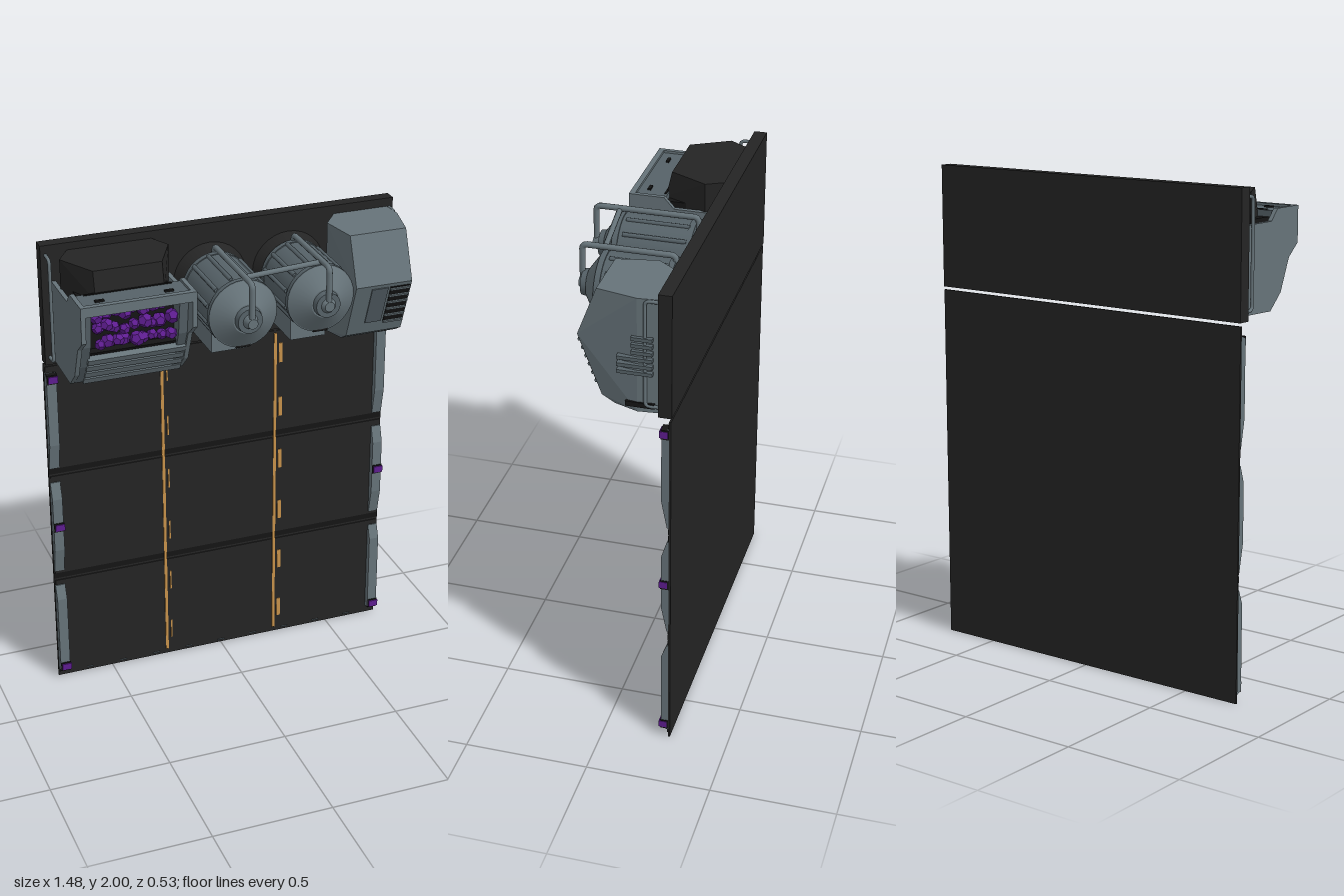
import * as THREE from 'three';
import { ConvexGeometry } from 'three/addons/geometries/ConvexGeometry.js';

const mat = (name, color, side = THREE.FrontSide) => {
  const m = new THREE.MeshStandardMaterial({ color, side });
  m.name = name;
  return m;
};

export function createModel() {
  const root = new THREE.Group();
  root.name = 'wallMachine';
  const dark = mat('charcoal', 0x242424);
  const black = mat('black', 0x141414);
  const steel = mat('steel', 0x667379);
  const tankGrey = mat('tankGrey', 0x566268);
  const orange = mat('amber', 0xc8924a);
  const purple = mat('purple', 0x5e1d90);

  const add = (name, geo, m, parent = root) => {
    const mesh = new THREE.Mesh(geo, m);
    mesh.name = name;
    parent.add(mesh);
    return mesh;
  };
  // box given by its minimum and maximum on each axis
  const box = (name, x0, x1, y0, y1, z0, z1, m, parent) => {
    const mesh = add(name, new THREE.BoxGeometry(x1 - x0, y1 - y0, z1 - z0), m, parent);
    mesh.position.set((x0 + x1) / 2, (y0 + y1) / 2, (z0 + z1) / 2);
    return mesh;
  };
  // side profile of [z, y] points, extruded from x0 to x1
  const sideProfile = (name, pts, x0, x1, m, parent) => {
    const shape = new THREE.Shape(pts.map(p => new THREE.Vector2(p[0], p[1])));
    const g = new THREE.ExtrudeGeometry(shape, { depth: x1 - x0, bevelEnabled: false });
    g.rotateY(-Math.PI / 2).translate(x1, 0, 0);
    return add(name, g, m, parent);
  };
  // pipe through points with tight rounded corners
  const pipe = (name, pts, r, m, parent) => {
    const v = pts.map(p => new THREE.Vector3(...p));
    const path = new THREE.CurvePath();
    let last = v[0];
    for (let i = 1; i < v.length - 1; i++) {
      const a = v[i].clone().add(v[i - 1].clone().sub(v[i]).setLength(0.02));
      const b = v[i].clone().add(v[i + 1].clone().sub(v[i]).setLength(0.02));
      path.add(new THREE.LineCurve3(last, a));
      path.add(new THREE.QuadraticBezierCurve3(a, v[i], b));
      last = b;
    }
    path.add(new THREE.LineCurve3(last, v[v.length - 1]));
    return add(name, new THREE.TubeGeometry(path, 60, r, 10), m, parent);
  };

  // lower wall: backing, nine panels, seams
  box('wallBacking', -0.742, 0.738, 0.005, 1.485, -0.268, -0.26, dark);
  const colX = [-0.742, -0.25, 0.246, 0.738];
  for (let r = 0; r < 3; r++) {
    for (let c = 0; c < 3; c++) {
      box('wallPanel', colX[c] + 0.006, colX[c + 1] - 0.006, r * 0.495 + 0.022, r * 0.495 + 0.482, -0.261, -0.256, dark);
    }
    if (r) box('wallSeam', -0.742, 0.738, r * 0.495 - 0.003, r * 0.495 + 0.022, -0.261, -0.258, black);
  }
  for (let i = 0; i < 9; i++) {
    const x = -0.6 + i * 0.15;
    box('floorMark', x - 0.015, x + 0.015, 0.018, 0.023, -0.258, -0.254, tankGrey);
  }

  // amber strips and dashes
  for (const [x, dx, w] of [[-0.25, 0.022, 0.006], [0.246, 0.024, 0.016]]) {
    box('amberStrip', x - 0.006, x + 0.006, 0.03, 1.46, -0.262, -0.252, orange);
    for (let i = 0; i < 6; i++) {
      const y = 0.13 + i * 0.248;
      box('amberDash', x + dx - w / 2, x + dx + w / 2, y - 0.044, y + 0.044, -0.258, -0.253, orange);
    }
  }

  // tapered edge trims and their lights
  const trims = [[0.04, 0.05, 0.40, 0.46], [0.53, 0.64, 0.88, 0.95], [1.015, 1.13, 1.435, 1.445]];
  for (const x of [-0.718, 0.714]) {
    for (const [a, b, c, d] of trims) {
      sideProfile('edgeTrim', [[-0.264, a], [-0.252, a], [-0.23, b], [-0.23, c], [-0.252, d], [-0.264, d]], x - 0.021, x + 0.021, steel);
    }
    for (const y of [0.065, 0.75, 1.425]) {
      box('lightSocket', x - 0.02, x + 0.023, y - 0.02, y + 0.02, -0.26, -0.227, black);
      box('edgeLight', x - 0.015, x + 0.025, y - 0.014, y + 0.014, -0.255, -0.222, purple);
    }
  }

  // upper mounting board
  box('upperBoard', -0.742, 0.738, 1.498, 2, -0.27, -0.218, dark);
  for (const x of [-0.722, 0.722]) {
    pipe('handRail', [[x, 1.96, -0.23], [x, 1.96, -0.165], [x, 1.53, -0.165], [x, 1.53, -0.23]], 0.007, steel);
  }

  // six-sided tower; each row is [y, front z]
  const tower = (name, x, rows, m) => {
    const pts = [];
    for (const [y, zf] of rows) {
      const plan = [[x[1], -0.22], [x[4], -0.22], [x[5], -0.135], [x[3], zf], [x[2], zf], [x[0], -0.135]];
      for (const [px, pz] of plan) pts.push(new THREE.Vector3(px, y, pz));
    }
    return add(name, new ConvexGeometry(pts), m);
  };
  tower('darkTower', [-0.69, -0.635, -0.605, -0.33, -0.295, -0.252], [[1.97, 0.02], [1.86, 0.045], [1.55, 0.0], [1.51, -0.05]], dark);
  tower('ventTower', [0.415, 0.48, 0.445, 0.685, 0.712, 0.72], [[1.965, 0.025], [1.77, 0.10], [1.53, 0.01], [1.5, -0.04]], steel);

  // front grille on the sloped lower face of the vent tower
  const grille = new THREE.Group();
  grille.name = 'frontGrille';
  grille.position.set(0, 1.67, 0.0625);
  grille.rotation.x = Math.atan2(0.09, 0.24);
  root.add(grille);
  box('sidePlate', 0.515, 0.585, -0.09, 0.09, -0.005, 0.004, tankGrey, grille);
  box('grilleBack', 0.595, 0.68, -0.1, 0.09, -0.005, 0.003, black, grille);
  for (let i = 0; i < 6; i++) {
    const y = -0.095 + i * 0.035;
    box('grilleSlat', 0.595, 0.68, y - 0.005, y + 0.005, 0, 0.009, steel, grille);
  }
  // side louvres and foot bracket
  for (let i = 0; i < 6; i++) {
    const y = 1.665 + i * 0.028;
    box('sideLouvre', 0.7, 0.733, y - 0.007, y + 0.007, -0.195, i < 3 ? -0.06 : -0.115, tankGrey);
  }
  box('footBracket', 0.7, 0.725, 1.52, 1.54, -0.2, -0.09, black);

  // tanks with ring, cone, ribs, bracket and pipe
  const tank = (x, z0, z1, pipeZ) => {
    const t = new THREE.Group();
    t.name = 'tank';
    t.position.set(x, 1.765, 0);
    root.add(t);
    const drum = (name, rBack, rFront, a, b, m) => {
      const g = new THREE.CylinderGeometry(rFront, rBack, b - a, 32);
      g.rotateX(Math.PI / 2).translate(0, 0, (a + b) / 2);
      return add(name, g, m, t);
    };
    drum('tankMount', 0.155, 0.112, -0.22, z0, dark);
    drum('tankBody', 0.134, 0.134, z0, z1, tankGrey);
    drum('backRing', 0.138, 0.138, z0 - 0.004, z0 + 0.02, tankGrey);
    drum('frontRing', 0.14, 0.14, z1, z1 + 0.022, tankGrey);
    drum('tankCone', 0.136, 0.06, z1 + 0.022, z1 + 0.075, steel);
    drum('tankNozzle', 0.055, 0.05, z1 + 0.07, z1 + 0.1, tankGrey);
    drum('nozzleTip', 0.03, 0.02, z1 + 0.1, pipeZ, steel);
    for (let i = 0; i < 12; i++) {
      const a = (i + 0.5) / 12 * Math.PI * 2;
      const g = new THREE.CylinderGeometry(0.009, 0.009, z1 - z0 - 0.03, 8);
      g.rotateX(Math.PI / 2).translate(Math.cos(a) * 0.134, Math.sin(a) * 0.134, (z0 + z1) / 2);
      add('tankRib', g, tankGrey, t);
    }
    box('tankBracket', -0.075, 0.075, -0.22, -0.12, -0.22, 0.0, steel, t);
    box('bracketClip', -0.03, 0.03, -0.14, -0.125, 0, z1 + 0.024, black, t);
    pipe('tankPipe', [[0, -0.01, pipeZ - 0.012], [0, 0.158, pipeZ - 0.012], [0, 0.158, -0.162], [0, 0.08, -0.162]], 0.012, steel, t);
  };
  tank(-0.052, -0.152, 0.132, 0.262);
  tank(0.283, -0.16, 0.1, 0.215);
  pipe('crossPipe', [[-0.052, 1.915, 0.155], [0.115, 1.915, 0.135], [0.283, 1.915, 0.115]], 0.011, steel);

  // hopper: cheeks, tray, top cover, lip and sloped slats
  const cheek = [[-0.218, 1.51], [-0.01, 1.505], [0.06, 1.57], [0.115, 1.7], [0.175, 1.75], [0.175, 1.895], [0.03, 1.895], [-0.01, 1.85], [-0.218, 1.85]];
  sideProfile('hopperCheek', cheek, -0.703, -0.685, steel);
  sideProfile('hopperCheek', cheek, -0.263, -0.245, steel);
  for (const x of [-0.688, -0.298]) {
    sideProfile('hopperPost', [[-0.03, 1.51], [0.0, 1.51], [0.06, 1.6], [0.105, 1.7], [0.13, 1.86], [0.06, 1.86]], x, x + 0.04, tankGrey);
  }
  box('hopperCover', -0.69, -0.258, 1.86, 1.885, 0.03, 0.16, tankGrey);
  box('hopperLip', -0.703, -0.245, 1.855, 1.895, 0.152, 0.175, steel);
  box('coverSeam', -0.65, -0.3, 1.884, 1.889, 0.035, 0.043, black);
  for (const x of [-0.61, -0.335]) box('coverClip', x - 0.018, x + 0.018, 1.884, 1.892, 0.105, 0.118, black);
  sideProfile('hopperTray', [[-0.1, 1.51], [-0.02, 1.51], [0.075, 1.66], [0.055, 1.67], [0.045, 1.86], [-0.1, 1.86]], -0.66, -0.29, black);
  for (let i = 0; i < 4; i++) {
    const slat = box('hopperSlat', -0.655, -0.26, 1.508 + i * 0.036, 1.536 + i * 0.036, -0.02 + i * 0.024, 0.012 + i * 0.024, steel);
    slat.rotation.x = 0.5;
  }

  // crystals in the hopper
  let seed = 7;
  const rand = () => (seed = (seed * 16807) % 2147483647) / 2147483647;
  for (let i = 0; i < 26; i++) {
    const row = Math.floor(i / 9), col = i % 9;
    const c = add('crystal', new THREE.DodecahedronGeometry(0.022 + rand() * 0.009), purple);
    c.position.set(-0.625 + col * 0.037 + rand() * 0.02, 1.69 + row * 0.052 + rand() * 0.03, 0.095 - row * 0.012 - rand() * 0.02);
    c.rotation.set(rand() * 3, rand() * 3, rand() * 3);
  }
  return root;
}
